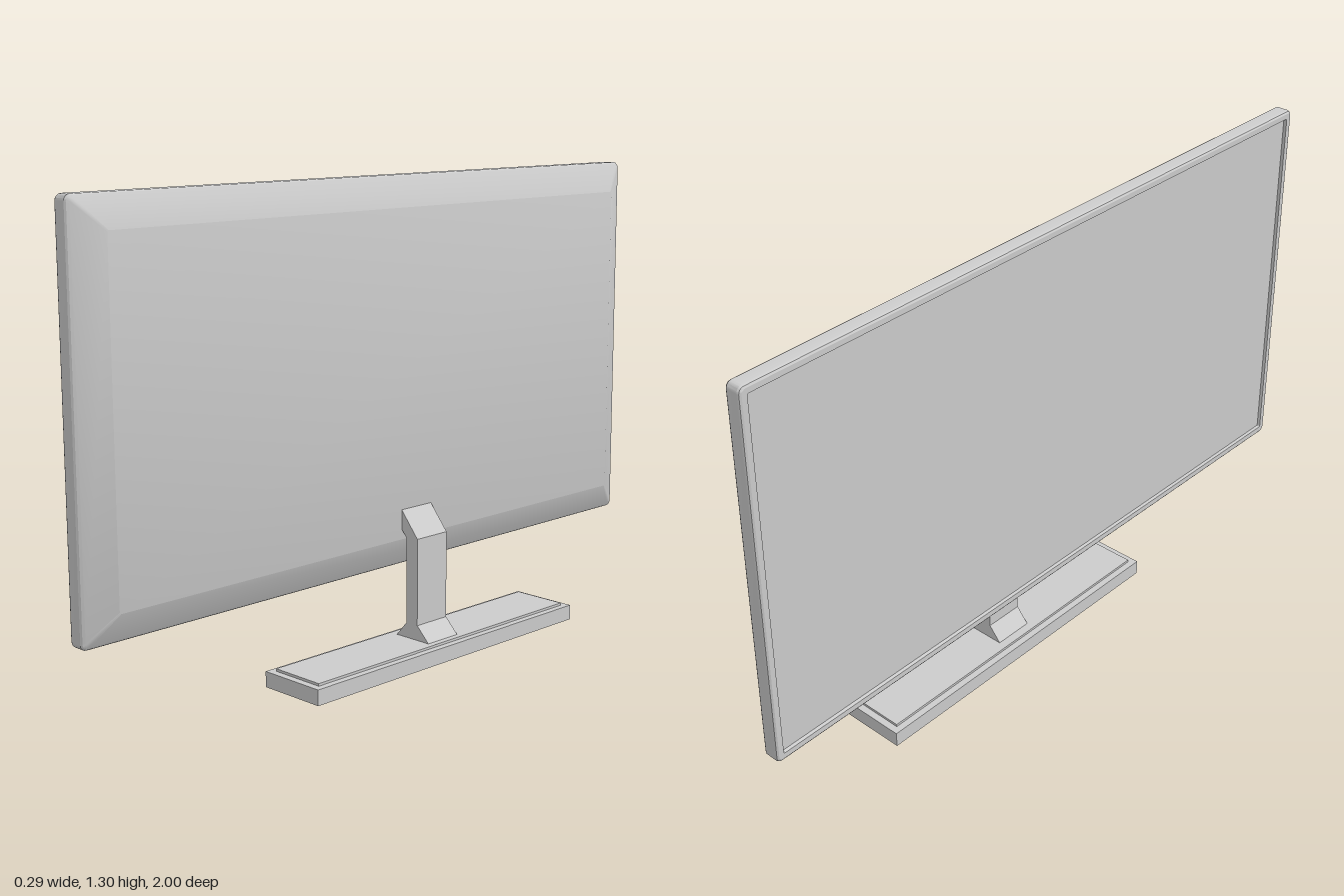
import * as THREE from 'three';
import { toCreasedNormals } from 'three/addons/utils/BufferGeometryUtils.js';

const W = 1.0, H = 0.532; // half width and half height of the display

// Rounded rectangle in the z/y plane at depth x, inset from the display outline
function ring(x, inset, r, steps = 4) {
  const pts = [], w = W - inset, h = H - inset;
  const corners = [[1, 1], [-1, 1], [-1, -1], [1, -1]];
  corners.forEach(([sz, sy], q) => {
    for (let i = 0; i <= steps; i++) {
      const a = (q + i / steps) * Math.PI / 2;
      pts.push([x, sy * (h - r) + r * Math.sin(a), sz * (w - r) + r * Math.cos(a)]);
    }
  });
  return pts;
}

// Skin through rings running from back to front, closed at both ends
function loft(rings) {
  const n = rings[0].length, pos = rings.flat(2), index = [];
  const last = rings.length - 1;
  for (let k = 0; k < last; k++) {
    for (let i = 0; i < n; i++) {
      const j = (i + 1) % n;
      const a = k * n + i, b = k * n + j, c = a + n, d = b + n;
      index.push(a, b, c, b, d, c);
    }
  }
  const backCentre = pos.length / 3, frontCentre = backCentre + 1;
  pos.push(rings[0][0][0], 0, 0, rings[last][0][0], 0, 0);
  for (let i = 0; i < n; i++) {
    const j = (i + 1) % n;
    index.push(backCentre, j, i, frontCentre, last * n + i, last * n + j);
  }
  const geo = new THREE.BufferGeometry();
  geo.setAttribute('position', new THREE.Float32BufferAttribute(pos, 3));
  geo.setIndex(index);
  return toCreasedNormals(geo, 0.42);
}

export function createModel() {
  const model = new THREE.Group();
  model.name = 'television';
  const grey = new THREE.MeshStandardMaterial({ color: 0xcccccc });

  const add = (name, geo, x, y, z) => {
    const mesh = new THREE.Mesh(geo, grey);
    mesh.name = name;
    mesh.position.set(x, y, z);
    model.add(mesh);
    return mesh;
  };

  // Display housing: sloped back, rounded rim, bezel and recess for the screen
  add('displayHousing', loft([
    ring(-0.018, 0.083, 0.004),
    ring(-0.054, 0.009, 0.012),
    ring(-0.058, 0.003, 0.015),
    ring(-0.063, 0, 0.016),
    ring(-0.096, 0, 0.016),
    ring(-0.101, 0.002, 0.015),
    ring(-0.104, 0.007, 0.012),
    ring(-0.104, 0.022, 0.004),
    ring(-0.095, 0.024, 0.003),
  ]), 0, 0.773, 0.003);

  // Screen panel set into the recess
  add('screen', new THREE.BoxGeometry(0.01, 2 * (H - 0.026), 2 * (W - 0.026)), -0.092, 0.773, 0.003);

  // Neck: flared foot, upright post and head leaning onto the housing
  const profile = new THREE.Shape([
    [-0.038, 0.048], [0.085, 0.048], [0.041, 0.092], [0.041, 0.335],
    [-0.019, 0.408], [-0.019, 0.353], [0, 0.332], [0, 0.092],
  ].map(([x, y]) => new THREE.Vector2(x, y)));
  add('neck', new THREE.ExtrudeGeometry(profile, { depth: 0.115, bevelEnabled: false }), 0, 0, -0.138);

  // Base slab with a thin inset plate
  add('base', new THREE.BoxGeometry(0.2, 0.043, 1.004), 0.02, 0.0215, -0.083);
  add('basePlate', new THREE.BoxGeometry(0.162, 0.01, 0.964), 0.02, 0.045, -0.083);

  // The whole set is turned slightly about the vertical
  model.rotation.y = -0.0435;
  const root = new THREE.Group();
  root.name = 'televisionOnStand';
  root.add(model);
  return root;
}
